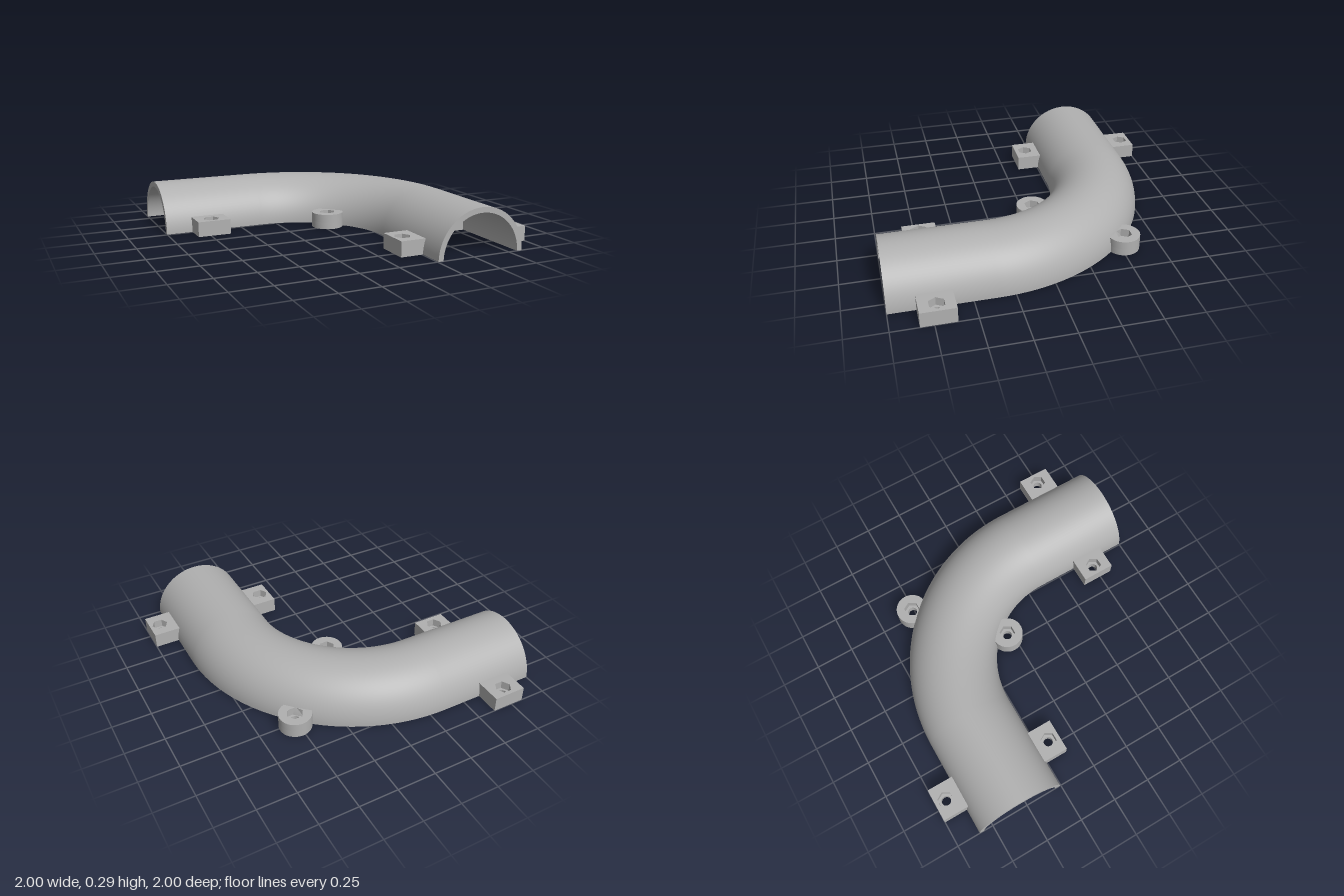
import * as THREE from 'three';
import { toCreasedNormals } from 'three/addons/utils/BufferGeometryUtils.js';

// Main dimensions: outer wall, socket bore, inner bore, bend
const R = 0.294, SOCKET = 0.26, BORE = 0.2;
const BEND = 0.9, CX = -0.35, CZ = 0.35, STEP = 0.44;

// Stations along the centre line: position plus outward direction in plan
const left = x => ({ x, z: CZ - BEND, nx: 0, nz: -1 });
const front = z => ({ x: CX + BEND, z, nx: 1, nz: 0 });
const bend = [];
for (let i = 0; i <= 48; i++) {
  const t = (i / 48) * Math.PI / 2, nx = Math.sin(t), nz = -Math.cos(t);
  bend.push({ x: CX + BEND * nx, z: CZ + BEND * nz, nx, nz });
}
const whole = [left(-1), ...bend, front(1)];
const middle = [left(-STEP), ...bend, front(STEP)];
const leftSocket = [left(-1), left(-STEP)];
const frontSocket = [front(STEP), front(1)];

// Half-round surface swept along stations
function sweep(path, r, inward) {
  const pos = [], idx = [], n = 48;
  path.forEach((p, i) => {
    for (let j = 0; j <= n; j++) {
      const a = (j / n) * Math.PI, o = r * Math.cos(a);
      pos.push(p.x + p.nx * o, r * Math.sin(a), p.z + p.nz * o);
      if (i === path.length - 1 || j === n) continue;
      const k = i * (n + 1) + j, m = k + n + 1;
      if (inward) idx.push(k, m, k + 1, k + 1, m, m + 1);
      else idx.push(k, k + 1, m, k + 1, m + 1, m);
    }
  });
  const g = new THREE.BufferGeometry();
  g.setAttribute('position', new THREE.Float32BufferAttribute(pos, 3));
  g.setIndex(idx);
  g.computeVertexNormals();
  return g;
}

// Flat underside strip between two offsets from the centre line
function rim(path, a, b, pins = []) {
  const line = o => path.map(p => new THREE.Vector2(p.x + p.nx * o, p.z + p.nz * o));
  const shape = new THREE.Shape([...line(a), ...line(b).reverse()]);
  for (const [x, z] of pins) shape.holes.push(new THREE.Path().absarc(x, z, 0.012, 0, Math.PI * 2, true));
  return new THREE.ShapeGeometry(shape).rotateX(Math.PI / 2);
}

// Lug: round bolt hole below, hexagonal nut recess above
function lugLayer(outline, hole, y, height) {
  const shape = outline();
  shape.holes.push(hole);
  const g = new THREE.ExtrudeGeometry(shape, { depth: height, bevelEnabled: false, curveSegments: 24 });
  return toCreasedNormals(g.rotateX(-Math.PI / 2).translate(0, y, 0), 0.6);
}

export function createModel() {
  const model = new THREE.Group();
  const grey = new THREE.MeshStandardMaterial({ color: 0xb0b0b0, side: THREE.DoubleSide });
  grey.name = 'grey';
  const add = (name, geometry, parent = model) => {
    const mesh = new THREE.Mesh(geometry, grey);
    mesh.name = name;
    parent.add(mesh);
    return mesh;
  };

  // Pipe shell
  add('outerShell', sweep(whole, R, false));
  add('bore', sweep(middle, BORE, true));
  add('leftSocketBore', sweep(leftSocket, SOCKET, true));
  add('frontSocketBore', sweep(frontSocket, SOCKET, true));

  // End faces and the steps at the bottom of each socket
  for (const [name, r0, r1, d] of [['endFace', SOCKET, R, 1], ['socketStep', BORE, SOCKET, STEP]]) {
    const ring = () => new THREE.RingGeometry(r0, r1, 48, 1, 0, Math.PI);
    add(name + 'Front', ring().translate(CX + BEND, 0, d));
    add(name + 'Left', ring().rotateY(-Math.PI / 2).translate(-d, 0, CZ - BEND));
  }

  // Underside rims with two locating pin holes in the outer one
  const pins = [22.5, 67.5].map(deg => {
    const t = deg * Math.PI / 180, r = BEND + 0.247;
    return [CX + r * Math.sin(t), CZ - r * Math.cos(t)];
  });
  add('outerRim', rim(middle, BORE, R, pins));
  add('innerRim', rim(middle, -R, -BORE));
  for (const path of [leftSocket, frontSocket]) {
    add('outerSocketRim', rim(path, SOCKET, R));
    add('innerSocketRim', rim(path, -R, -SOCKET));
  }
  for (const [x, z] of pins) {
    const profile = [[0, 0.04], [0.012, 0.04], [0.012, 0]].map(p => new THREE.Vector2(...p));
    add('pinHole', new THREE.LatheGeometry(profile, 16)).position.set(x, 0, z);
  }

  // Fastening lugs
  const addLug = (name, x, z, outline) => {
    const lug = new THREE.Group();
    lug.name = name;
    lug.position.set(x, 0, z);
    const hex = new THREE.Path(Array.from({ length: 6 }, (_, i) =>
      new THREE.Vector2(0.052 * Math.cos(i * Math.PI / 3), 0.052 * Math.sin(i * Math.PI / 3))));
    hex.closePath();
    const round = new THREE.Path().absarc(0, 0, 0.03, 0, Math.PI * 2, true);
    add('boltHoleLayer', lugLayer(outline, round, 0, 0.045), lug);
    add('nutRecessLayer', lugLayer(outline, hex, 0.045, 0.052), lug);
    model.add(lug);
  };
  // Square lugs: hole centre, then x and z limits
  const squares = [
    [-0.725, -0.93, -0.832, -0.618, -1, -0.825],
    [-0.725, -0.18, -0.832, -0.618, -0.285, -0.108],
    [0.93, 0.725, 0.825, 1, 0.618, 0.832],
    [0.175, 0.725, 0.108, 0.285, 0.618, 0.832],
  ];
  for (const [x, z, x0, x1, z0, z1] of squares) {
    addLug('squareLug', x, z, () => new THREE.Shape([[x0, z1], [x1, z1], [x1, z0], [x0, z0]]
      .map(([px, pz]) => new THREE.Vector2(px - x, z - pz))));
  }
  // Round lugs at the middle of the bend
  for (const [x, z] of [[0.517, -0.517], [0.042, -0.042]]) {
    addLug('roundLug', x, z, () => new THREE.Shape().absarc(0, 0, 0.103, 0, Math.PI * 2, false));
  }
  return model;
}
